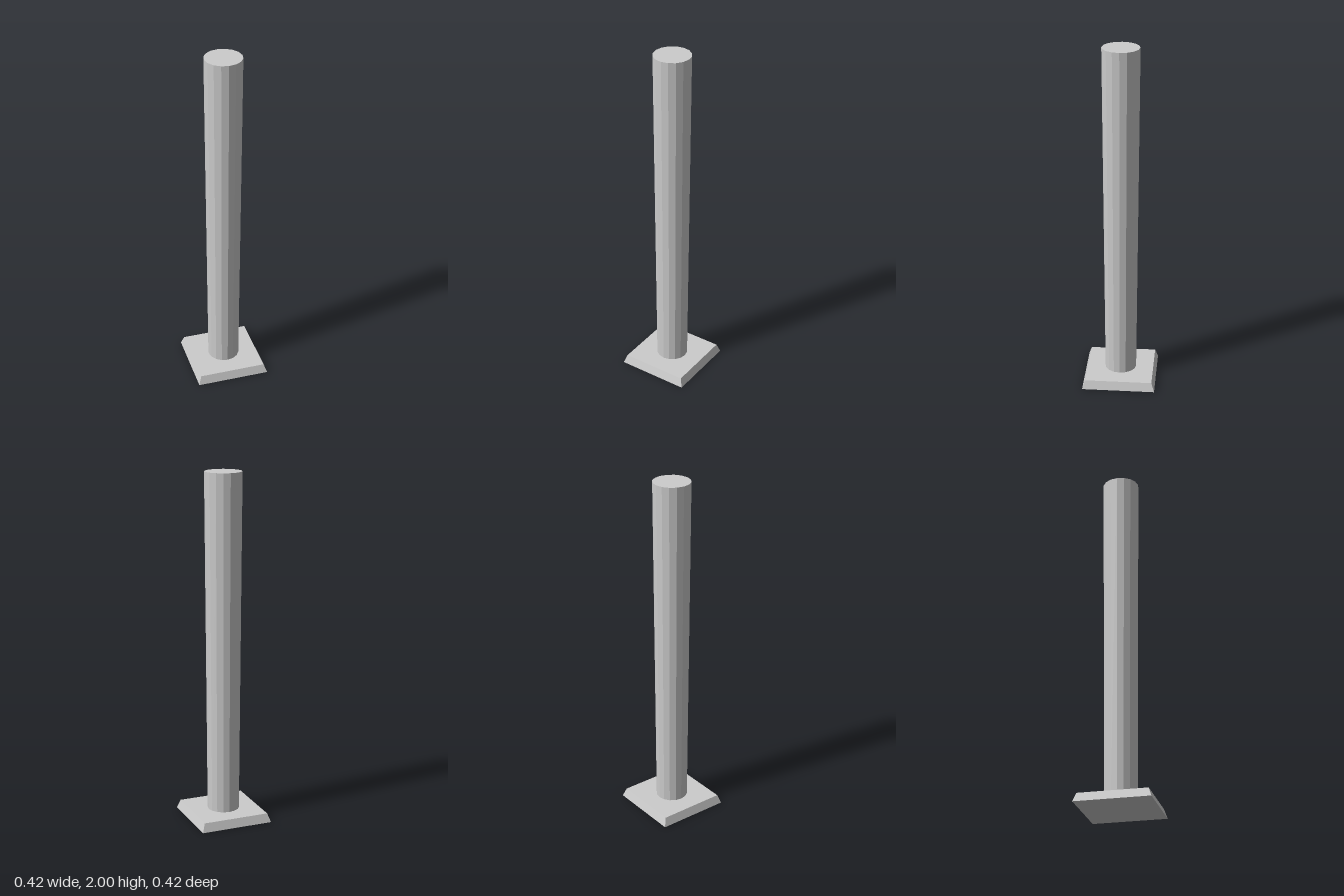
import * as THREE from 'three';

export function createModel() {
  const model = new THREE.Group();
  model.name = 'column';
  const material = new THREE.MeshStandardMaterial({ color: 0xcccccc, flatShading: true });

  const plinthHeight = 0.05;
  const shaftHeight = 2 - plinthHeight;

  // Square plinth with sloping sides: a four-sided cylinder turned by 45 degrees
  const plinthGeometry = new THREE.CylinderGeometry(0.193 * Math.SQRT2, 0.21 * Math.SQRT2, plinthHeight, 4);
  plinthGeometry.rotateY(Math.PI / 4);
  const plinth = new THREE.Mesh(plinthGeometry, material);
  plinth.name = 'plinth';
  plinth.position.y = plinthHeight / 2;

  // Sixteen-sided shaft, slightly wider at the top
  const shaft = new THREE.Mesh(new THREE.CylinderGeometry(0.105, 0.091, shaftHeight, 16), material);
  shaft.name = 'shaft';
  shaft.position.y = plinthHeight + shaftHeight / 2;

  model.add(plinth, shaft);
  return model;
}
